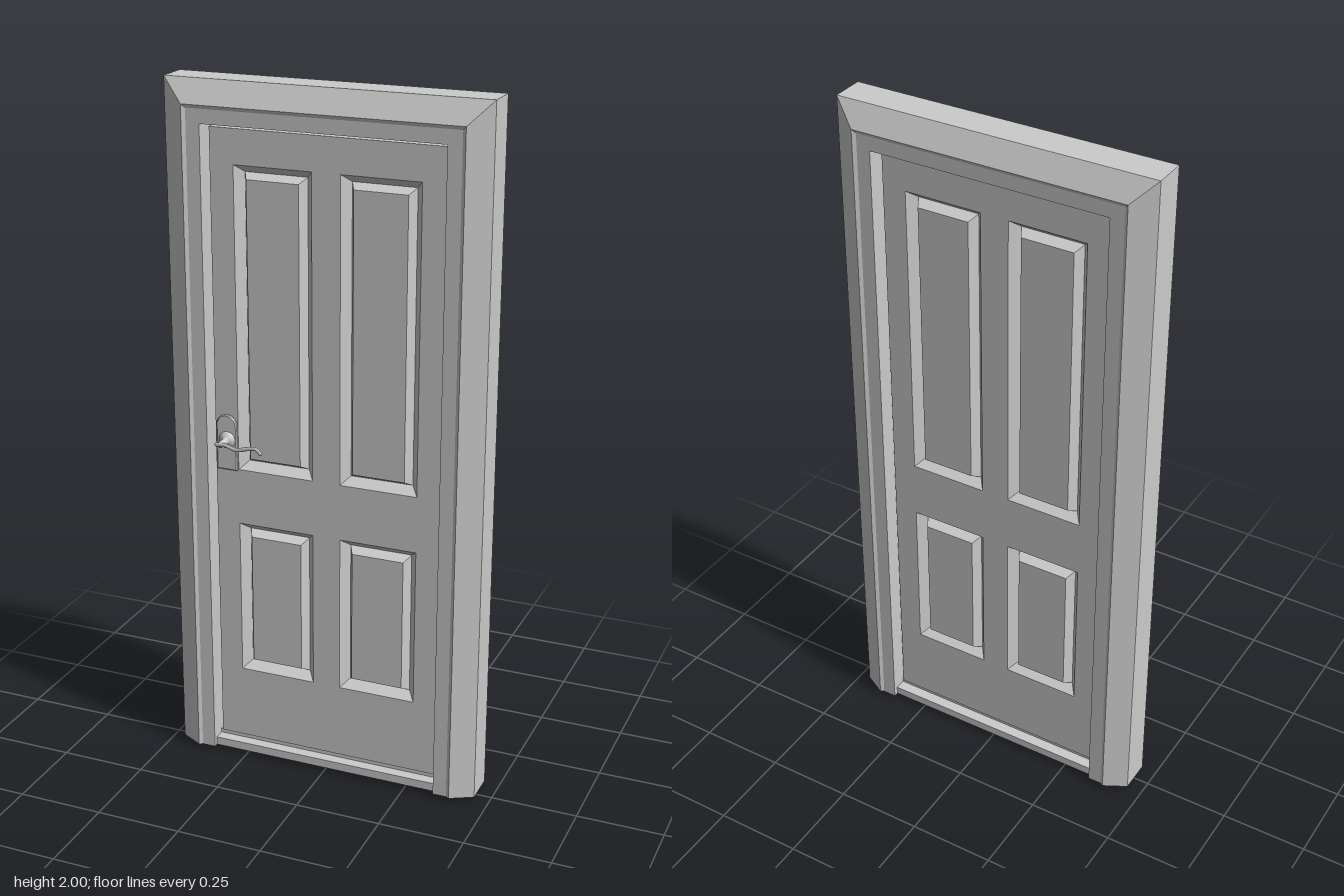
import * as THREE from 'three';

const grey = new THREE.MeshStandardMaterial({ color: 0xcccccc, flatShading: true });
const smooth = new THREE.MeshStandardMaterial({ color: 0xcccccc });
const MID = -0.0075; // middle of the door's thickness
const HALF = 0.0375; // half of the door's thickness

function part(name, geometry, material = grey) {
  const m = new THREE.Mesh(geometry, material);
  m.name = name;
  return m;
}

function box(name, x0, x1, y0, y1, z0, z1) {
  const m = part(name, new THREE.BoxGeometry(x1 - x0, y1 - y0, z1 - z0));
  m.position.set((x0 + x1) / 2, (y0 + y1) / 2, (z0 + z1) / 2);
  return m;
}

// Joins successive rings of [x, y, z] points with quads
function loft(rings, closed) {
  const pos = [];
  for (let k = 0; k + 1 < rings.length; k++) {
    const a = rings[k], b = rings[k + 1], n = a.length;
    for (let i = 0; i < (closed ? n : n - 1); i++) {
      const j = (i + 1) % n;
      pos.push(...a[i], ...a[j], ...b[j], ...a[i], ...b[j], ...b[i]);
    }
  }
  const g = new THREE.BufferGeometry();
  g.setAttribute('position', new THREE.Float32BufferAttribute(pos, 3));
  g.computeVertexNormals();
  return g;
}

const rectRing = (x0, x1, y0, y1, z) => [[x0, y0, z], [x1, y0, z], [x1, y1, z], [x0, y1, z]];

// Mitred casing: the profile is [inset from outer edge, z]
function buildFrame() {
  const g = new THREE.Group();
  g.name = 'frame';
  const W = 0.46, H = 2, foot = 0.015;
  const front = [[0, 0.04], [0.065, 0.075], [0.075, 0.069], [0.115, 0.069]];
  const back = front.map(([o, z]) => [o, 2 * MID - z]).reverse();
  const profile = [...front, ...back];
  const rings = [...profile, profile[0]].map(([o, z]) =>
    [[W - o, foot, z], [W - o, H - o, z], [o - W, H - o, z], [o - W, foot, z]]);
  g.add(part('casing', loft(rings, false)));

  // Slightly pointed feet under the posts
  for (const s of [1, -1]) {
    const ring = profile.map(([o, z]) => [s * (W - o), foot, z]);
    if (s < 0) ring.reverse();
    const tip = ring.map(() => [s * 0.4, 0, MID]);
    g.add(part(s > 0 ? 'leftFoot' : 'rightFoot', loft([ring, tip], true)));
  }
  g.add(box('headStop', -0.345, 0.345, 1.87, 1.886, MID - 0.015, MID + 0.015));
  g.add(box('sill', -0.346, 0.346, 0.015, 0.04, -0.07, 0.055));
  g.add(box('threshold', -0.346, 0.346, 0.04, 0.052, MID - 0.03, MID + 0.03));
  return g;
}

// Slab with four openings, each filled with a raised panel on both faces
function buildDoor() {
  const g = new THREE.Group();
  g.name = 'door';
  const outline = new THREE.Shape([
    [-0.336, 0.055], [0.336, 0.055], [0.336, 1.872], [-0.336, 1.872],
  ].map((p) => new THREE.Vector2(...p)));
  const openings = [];
  for (const [y0, y1] of [[0.275, 0.74], [0.905, 1.775]]) {
    openings.push([-0.267, -0.041, y0, y1], [0.041, 0.267, y0, y1]);
  }
  for (const [x0, x1, y0, y1] of openings) {
    outline.holes.push(new THREE.Path(
      rectRing(x0, x1, y0, y1, 0).reverse().map(([x, y]) => new THREE.Vector2(x, y))));
  }
  const slab = part('slab', new THREE.ExtrudeGeometry(outline, { depth: 2 * HALF, bevelEnabled: false }));
  slab.position.z = MID - HALF;
  g.add(slab);

  // Panel steps: [inset, z], sloping into a groove and back up to the field
  const steps = [[0, HALF], [0.022, HALF - 0.028], [0.037, HALF]];
  for (const [x0, x1, y0, y1] of openings) {
    const rings = steps.map(([o, z]) => rectRing(x0 + o, x1 - o, y0 + o, y1 - o, z));
    rings.push(rings[2].map(() => [(x0 + x1) / 2, (y0 + y1) / 2, HALF]));
    const geometry = loft(rings, true);
    for (const turn of [0, Math.PI]) {
      const panel = part(turn ? 'backPanel' : 'frontPanel', geometry);
      panel.position.z = MID;
      panel.rotation.y = turn;
      g.add(panel);
    }
  }
  return g;
}

// Lever handle on the front face only
function buildHandle() {
  const g = new THREE.Group();
  g.name = 'handle';
  const z = MID + HALF;

  // Back plate with rounded top
  const s = new THREE.Shape();
  s.moveTo(-0.328, 0.905);
  s.lineTo(-0.272, 0.905);
  s.lineTo(-0.272, 1.035);
  s.absarc(-0.3, 1.035, 0.028, 0, Math.PI, false);
  s.closePath();
  const plate = part('plate', new THREE.ExtrudeGeometry(s, {
    depth: 0.005, bevelEnabled: true, bevelThickness: 0.003, bevelSize: 0.003, bevelSegments: 1,
  }));
  plate.position.z = z;
  g.add(plate);

  // Rose and neck
  const rose = part('roseAndNeck', new THREE.LatheGeometry([
    [0.026, 0], [0.024, 0.012], [0.012, 0.016], [0.009, 0.022], [0.009, 0.053], [0, 0.055],
  ].map((p) => new THREE.Vector2(...p)), 20), smooth);
  rose.rotation.x = Math.PI / 2;
  rose.position.set(-0.298, 0.993, z);
  g.add(rose);

  // Wavy flattened lever
  const path = new THREE.CatmullRomCurve3([
    [-0.31, 0.993], [-0.285, 0.994], [-0.25, 0.985], [-0.215, 0.993], [-0.19, 0.996], [-0.176, 0.984],
  ].map(([x, y]) => new THREE.Vector3(x, y, 0)));
  const lever = part('lever', new THREE.TubeGeometry(path, 32, 0.006, 8), smooth);
  lever.scale.z = 0.6;
  lever.position.z = 0.082;
  g.add(lever);
  for (const t of [0, 1]) {
    const end = part('leverEnd', new THREE.SphereGeometry(0.006, 10, 8), smooth);
    end.position.copy(path.getPoint(t)).setZ(0.082);
    end.scale.z = 0.6;
    g.add(end);
  }
  return g;
}

export function createModel() {
  const model = new THREE.Group();
  model.name = 'panelledDoor';
  model.add(buildFrame(), buildDoor(), buildHandle());
  return model;
}
